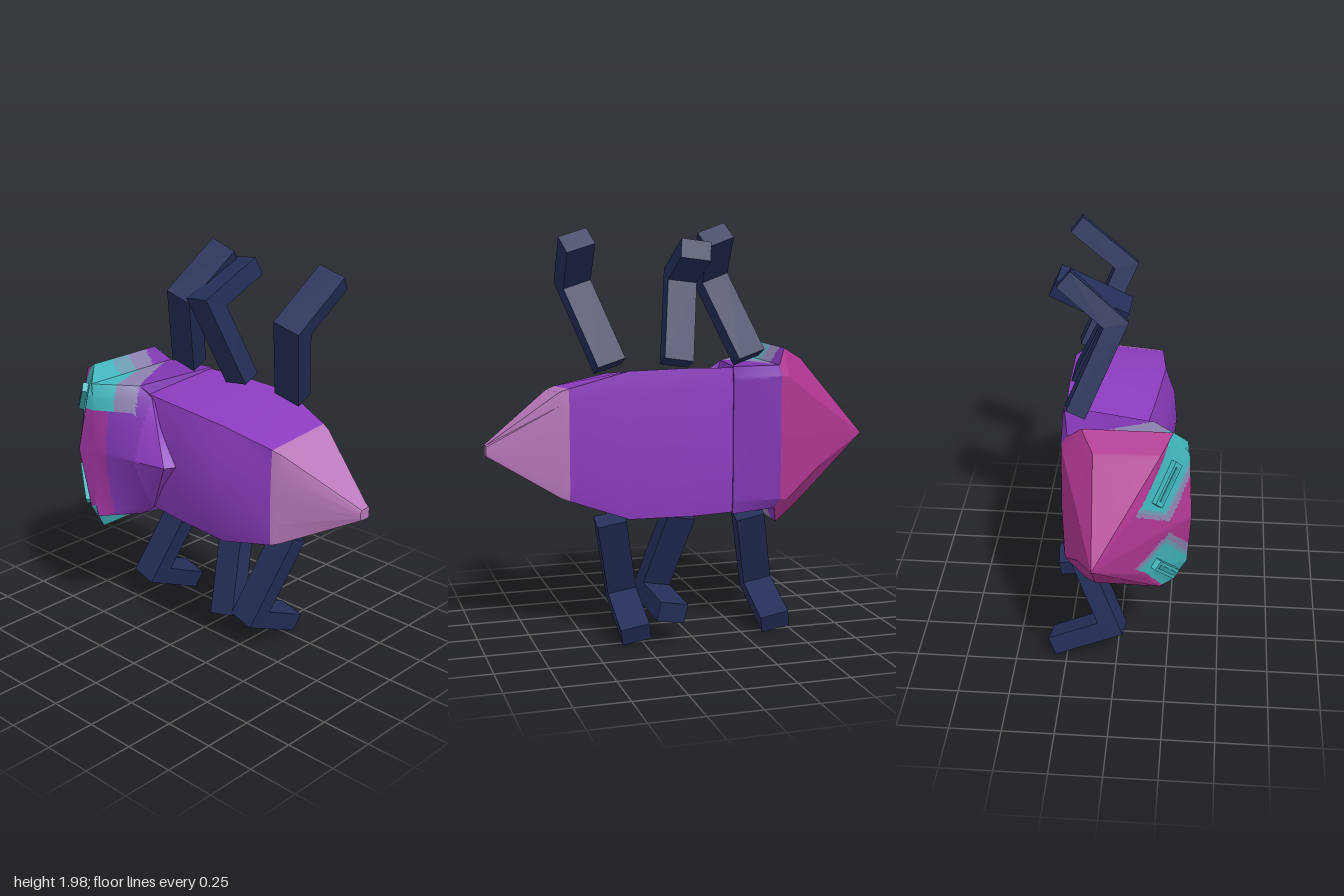
import * as THREE from 'three';
import { toCreasedNormals } from 'three/addons/utils/BufferGeometryUtils.js';

const mat = (name, color) => {
  const m = new THREE.MeshStandardMaterial({ color });
  m.name = name;
  return m;
};

const MID = 0.965; // height of the mirror plane

// Mirror a half section [x, offset, z] (back centre to front centre) into a closed ring;
// skew moves the two lower side corners along x
function ring(half, y = MID, skew = 0) {
  const up = half.map(([x, d, z]) => new THREE.Vector3(x, y + d, z));
  const down = half.slice(1, -1).reverse().map(([x, d, z], i) =>
    new THREE.Vector3(x + (i === 1 || i === 2 ? skew : 0), y - d, z));
  return [...up, ...down];
}

// Skin a list of rings; every cell is split k x k and coloured by pick(segment, column, centre)
function loft(rings, materials, pick, k, crease) {
  const buckets = materials.map(() => []);
  const n = rings[0].length;
  const tri = (s, j, a, b, c) => {
    const area = b.clone().sub(a).cross(c.clone().sub(a)).length();
    if (area < 1e-10) return;
    const mid = a.clone().add(b).add(c).divideScalar(3);
    for (const p of [a, b, c]) buckets[pick(s, j, mid)].push(p.x, p.y, p.z);
  };
  for (let s = 0; s < rings.length - 1; s++) {
    for (let j = 0; j < n; j++) {
      const A = rings[s][j], B = rings[s][(j + 1) % n];
      const C = rings[s + 1][j], D = rings[s + 1][(j + 1) % n];
      const at = (u, v) => A.clone().lerp(B, v).lerp(C.clone().lerp(D, v), u);
      for (let p = 0; p < k; p++) {
        for (let q = 0; q < k; q++) {
          const a = at(p / k, q / k), b = at(p / k, (q + 1) / k);
          const c = at((p + 1) / k, (q + 1) / k), d = at((p + 1) / k, q / k);
          tri(s, j, a, b, c);
          tri(s, j, a, c, d);
        }
      }
    }
  }
  const geo = new THREE.BufferGeometry();
  geo.setAttribute('position', new THREE.Float32BufferAttribute(buckets.flat(), 3));
  let start = 0;
  buckets.forEach((b, i) => {
    geo.addGroup(start, b.length / 3, i);
    start += b.length / 3;
  });
  return new THREE.Mesh(toCreasedNormals(geo, crease), materials);
}

// Square bar bent once at the knee, with a mitred joint
function legGeometry(points, w, t) {
  const P = points.map((p) => new THREE.Vector3(...p));
  const d0 = P[1].clone().sub(P[0]).normalize(), d1 = P[2].clone().sub(P[1]).normalize();
  const tangents = [d0, d0.clone().add(d1).normalize(), d1];
  const U0 = new THREE.Vector3(1, 0, 0).addScaledVector(d0, -d0.x).normalize();
  const corners = P.map((p, i) => {
    const T = tangents[i];
    const U = U0.clone().addScaledVector(T, -U0.dot(T)).normalize();
    const V = T.clone().cross(U);
    const miter = i === 1 ? 1 / T.dot(d0) : 1;
    return [[-1, -1], [1, -1], [1, 1], [-1, 1]].map(([a, b]) =>
      p.clone().addScaledVector(U, a * w / 2).addScaledVector(V, b * t / 2 * miter));
  });
  const pos = [];
  const quad = (a, b, c, d) => [a, b, c, a, c, d].forEach((v) => pos.push(v.x, v.y, v.z));
  for (let i = 0; i < 2; i++) {
    for (let j = 0; j < 4; j++) {
      const m = (j + 1) % 4;
      quad(corners[i][j], corners[i][m], corners[i + 1][m], corners[i + 1][j]);
    }
  }
  const [a, b, c, d] = corners[0];
  quad(d, c, b, a);
  quad(...corners[2]);
  const geo = new THREE.BufferGeometry();
  geo.setAttribute('position', new THREE.Float32BufferAttribute(pos, 3));
  geo.computeVertexNormals();
  return geo;
}

export function createModel() {
  const group = new THREE.Group();
  const magenta = mat('magenta', 0xae3690), plum = mat('plum', 0x9c349c);
  const violet = mat('violet', 0x7e36b0), purple = mat('purple', 0x8c3cbe);
  const mauve = mat('mauve', 0xb878ba), teal = mat('teal', 0x42b6be);
  const greyTeal = mat('greyTeal', 0x6c9cb4), grey = mat('greyLilac', 0x8c80ae);
  const navy = mat('navy', 0x242e58), slitTeal = mat('deepTeal', 0x35a0a8);

  // Head and thorax shell: nose, cheeks, flared rim, neck, pointed lip
  const nose = Array(6).fill([-0.95, 0, -0.07]);
  const shell = [
    ring(nose, 0.94),
    ring([[-0.7, 0, -0.165], [-0.7, 0.15, -0.16], [-0.61, 0.37, -0.09],
      [-0.61, 0.375, 0.21], [-0.72, 0.2, 0.14], [-0.74, 0, 0.15]], 0.96, 0.03),
    ring([[-0.49, 0, -0.25], [-0.49, 0.3, -0.24], [-0.5, 0.43, -0.15],
      [-0.5, 0.43, 0.26], [-0.47, 0.3, 0.335], [-0.53, 0, 0.352]], 0.96, 0.035),
    ring([[-0.45, 0, -0.255], [-0.45, 0.3, -0.25], [-0.45, 0.35, -0.22],
      [-0.45, 0.35, 0.325], [-0.44, 0.29, 0.33], [-0.45, 0, 0.336]], MID, 0.02),
    ring([[-0.2, 0, -0.271], [-0.2, 0.3, -0.271], [-0.2, 0.356, -0.262],
      [-0.28, 0.34, 0.165], [-0.21, 0.295, 0.15], [-0.03, 0, 0.25]]),
    ring([[-0.2, 0, -0.26], [-0.2, 0.3, -0.26], [-0.2, 0.346, -0.25],
      [-0.25, 0.29, 0.12], [-0.19, 0.24, 0.12], [0.005, 0, 0.195]], 0.967),
  ];
  const shellColours = [magenta, plum, violet, purple, teal, greyTeal, grey];
  const shellColour = (s, j, p) => {
    const d = Math.abs(p.y - MID);
    const sideFace = j === 2 || j === 7;
    if (s < 2) {
      // patch around each eye, measured along and across the eye bar
      const x = p.x + 0.61, e = d - 0.235;
      const along = 0.64 * x + 0.77 * e, across = 0.77 * x - 0.64 * e;
      if (!sideFace && p.z > 0.09 && along > -0.165 && across > -0.055) {
        if (along > -0.13 && across < 0.08) return 4;
        if (along > -0.145 && across < 0.095) return 5;
        if (across < 0.12) return 6;
      }
      return 0;
    }
    // rear of the rim: both sides teal fading to grey
    if (s === 2 && sideFace) return [[0.14, 4], [0.03, 5], [-0.09, 6], [-9, 2]].find(([z]) => p.z > z)[1];
    if (s === 2 && j === 6) return 4;
    if (s === 2 && (j < 2 || j > 7)) return 0;
    // shoulder patch on the upper side only
    if (p.y > MID + 0.215) {
      const x = Math.max(p.x + 0.45, 0), z = 0.325 - p.z;
      if (x / 0.12 + z / 0.32 < 1) return 4;
      if (x / 0.25 + z / 0.5 < 1) return 6;
    }
    if (p.x > -0.2) return 3;
    return p.x < -0.37 && p.z > 0.2 ? 1 : 2;
  };
  const head = loft(shell, shellColours, shellColour, 20, 0.4);
  head.name = 'headAndThorax';
  group.add(head);

  // Abdomen, and its tail cone from the same kind of section
  const section = (x, back, w, shoulder, sz, front, y) => ring([[x, 0, back], [x, w * 0.75, back],
    [x, w, back + 0.01], [x, shoulder, sz], [x, shoulder * 0.55, sz + (front - sz) * 0.75], [x, 0, front]], y);
  const waist = section(0.58, -0.208, 0.265, 0.235, 0.165, 0.172, 0.97);
  const taper = section(0.62, -0.195, 0.25, 0.22, 0.15, 0.158, 0.97);
  const tip = section(0.95, -0.08, 0.028, 0.025, -0.025, -0.015, 0.94);
  const end = Array(10).fill(new THREE.Vector3(0.95, 0.94, -0.05));
  const abdomen = loft([
    section(-0.42, -0.22, 0.32, 0.28, 0.1, 0.15),
    section(-0.24, -0.262, 0.348, 0.295, 0.13, 0.17),
    section(0, -0.27, 0.355, 0.295, 0.16, 0.2),
    section(0.31, -0.27, 0.35, 0.29, 0.19, 0.25),
    waist,
  ], [purple], () => 0, 1, 0.5);
  abdomen.name = 'abdomen';
  const tail = loft([waist, taper, tip, end], [mauve], () => 0, 1, 0.5);
  tail.name = 'tail';
  group.add(abdomen, tail);

  // Eye bars lying on the cheeks
  for (const side of [1, -1]) {
    const normal = new THREE.Vector3(-0.655, 0.16 * side, 0.74).normalize();
    const along = new THREE.Vector3(0.67, 0.74 * side, 0.4);
    along.addScaledVector(normal, -along.dot(normal)).normalize();
    const eye = new THREE.Group();
    eye.name = side > 0 ? 'upperEye' : 'lowerEye';
    const bar = new THREE.Mesh(new THREE.BoxGeometry(0.21, 0.05, 0.04), teal);
    bar.name = 'eyeBar';
    const slit = new THREE.Mesh(new THREE.BoxGeometry(0.17, 0.02, 0.006), slitTeal);
    slit.name = 'eyeSlit';
    slit.position.z = 0.02;
    eye.add(bar, slit);
    const basis = new THREE.Matrix4().makeBasis(along, normal.clone().cross(along), normal);
    eye.quaternion.setFromRotationMatrix(basis);
    eye.position.set(-0.61, 0.955 + 0.235 * side, 0.235);
    group.add(eye);
  }

  // Six bent legs: hip, knee, foot
  const legs = {
    upperFrontLeg: [[-0.3, 1.355, -0.2], [-0.155, 1.74, -0.025], [-0.11, 1.935, -0.26]],
    upperMiddleLeg: [[0.06, 1.34, -0.2], [-0.01, 1.74, -0.025], [0, 1.87, -0.31]],
    upperRearLeg: [[0.385, 1.335, -0.2], [0.52, 1.72, -0.025], [0.55, 1.915, -0.27]],
    lowerFrontLeg: [[-0.3, 0.6, -0.2], [-0.405, 0.2, -0.025], [-0.405, 0.07, -0.315]],
    lowerMiddleLeg: [[0.05, 0.62, -0.2], [0.145, 0.205, -0.025], [0.125, 0.17, -0.345]],
    lowerRearLeg: [[0.39, 0.61, -0.2], [0.295, 0.2, -0.025], [0.295, 0.07, -0.315]],
  };
  for (const [name, points] of Object.entries(legs)) {
    const leg = new THREE.Mesh(legGeometry(points, 0.14, 0.095), navy);
    leg.name = name;
    group.add(leg);
  }
  return group;
}
